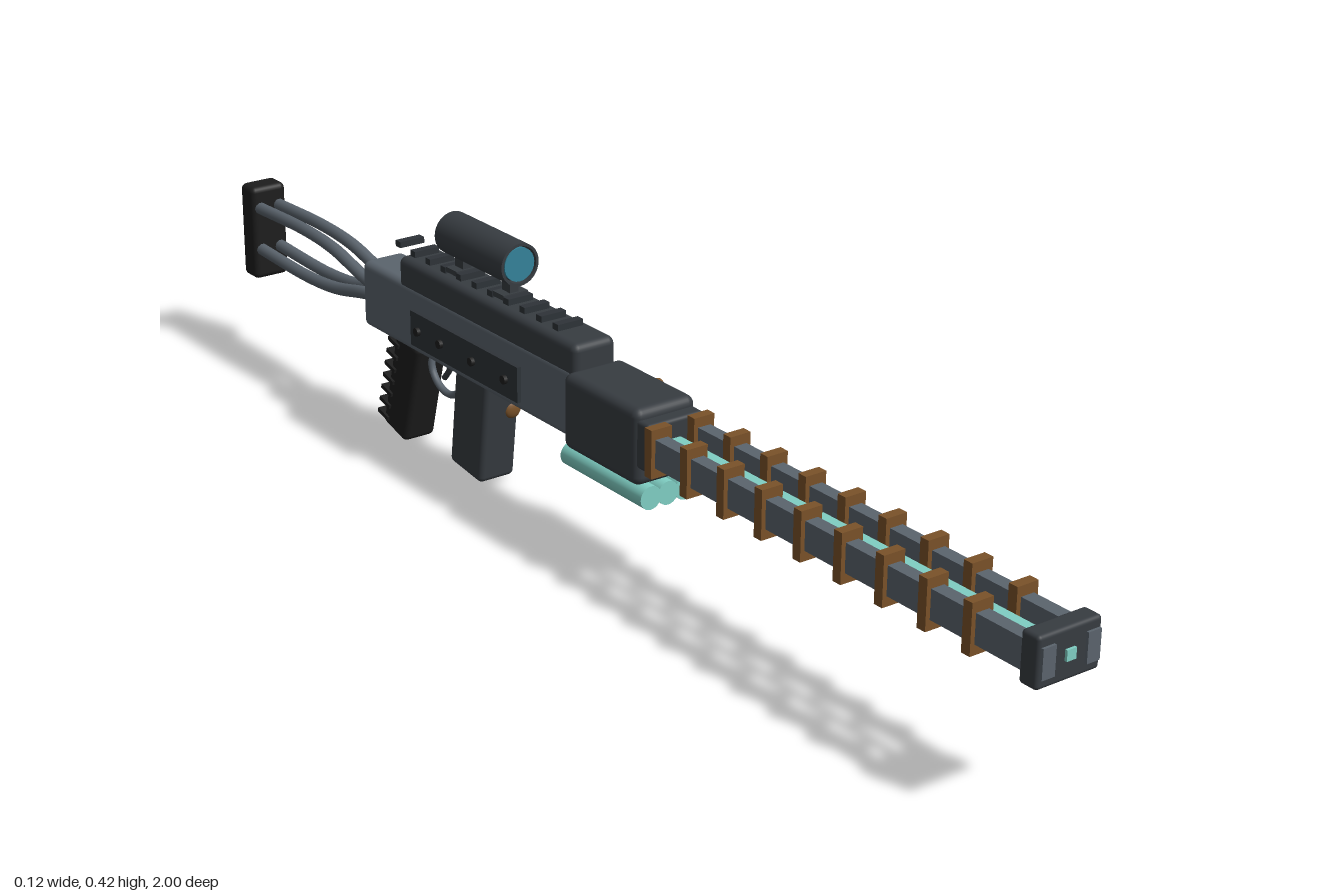
import * as THREE from 'three';
import { RoundedBoxGeometry } from 'three/addons/geometries/RoundedBoxGeometry.js';

const mat = (name, color) => new THREE.MeshStandardMaterial({ name, color });

export function createModel() {
  const dark = mat('dark gunmetal', 0x373c41);
  const steel = mat('steel grey', 0x5b646d);
  const panelGrey = mat('panel grey', 0x2e3338);
  const black = mat('rubber black', 0x1d1d1d);
  const copper = mat('copper', 0x7a5229);
  const teal = mat('energy teal', 0x80cfc4);
  const lensBlue = mat('lens blue', 0x35839a);

  const root = new THREE.Group();
  root.name = 'railRifle';

  const add = (name, geo, material, x, y, z, parent = root) => {
    const m = new THREE.Mesh(geo, material);
    m.name = name;
    m.position.set(x, y, z);
    parent.add(m);
    return m;
  };
  const box = (name, material, w, h, d, x, y, z, parent) =>
    add(name, new THREE.BoxGeometry(w, h, d), material, x, y, z, parent);
  const rounded = (name, material, w, h, d, r, x, y, z, parent) =>
    add(name, new RoundedBoxGeometry(w, h, d, 3, r), material, x, y, z, parent);
  const cylZ = (name, material, r, len, x, y, z) =>
    add(name, new THREE.CylinderGeometry(r, r, len, 24).rotateX(Math.PI / 2), material, x, y, z);
  const tube = (name, material, points, r, segments = 32) =>
    add(name, new THREE.TubeGeometry(
      new THREE.CatmullRomCurve3(points.map(p => new THREE.Vector3(...p))), segments, r, 10), material, 0, 0, 0);

  // Barrel: twin rails with copper coils around a glowing core
  for (const s of [-1, 1]) {
    box('barrelRail', steel, 0.022, 0.044, 0.835, s * 0.038, 0.237, 0.5825);
    for (let i = 0; i < 9; i++) {
      box('coil', copper, 0.036, 0.075, 0.016, s * 0.038, 0.237, 0.21 + i * 0.0828);
    }
  }
  box('energyCore', teal, 0.016, 0.016, 0.84, 0, 0.237, 0.58);
  rounded('muzzleBlock', dark, 0.108, 0.075, 0.032, 0.006, 0, 0.237, 0.98);
  rounded('barrelClamp', dark, 0.1, 0.075, 0.03, 0.006, 0, 0.237, 0.187);

  // Muzzle face details
  for (const s of [-1, 1]) box('railEnd', steel, 0.022, 0.044, 0.006, s * 0.038, 0.237, 0.997);
  box('coreEnd', teal, 0.016, 0.016, 0.006, 0, 0.237, 0.997);

  // Receiver and body
  rounded('frontReceiver', dark, 0.108, 0.12, 0.185, 0.014, 0, 0.23, 0.0875);
  rounded('mainBody', steel, 0.078, 0.112, 0.59, 0.012, 0, 0.234, -0.295);
  rounded('topCover', dark, 0.076, 0.055, 0.485, 0.012, 0, 0.302, -0.237);
  for (let i = 0; i < 11; i++) {
    box('railTooth', panelGrey, 0.045, 0.01, 0.014, 0, i < 10 ? 0.335 : 0.339, -0.065 - i * 0.0437);
  }

  // Side panels with bolts
  for (const s of [-1, 1]) {
    box('sidePanel', panelGrey, 0.01, 0.058, 0.3, s * 0.041, 0.224, -0.283);
    for (const z of [-0.165, -0.255, -0.345, -0.41]) {
      const bolt = z === -0.255 && s > 0 ? copper : black;
      add('panelBolt', new THREE.CylinderGeometry(0.007, 0.007, 0.008, 12).rotateZ(Math.PI / 2),
        bolt, s * 0.048, 0.224, z);
    }
  }
  add('receiverStud', new THREE.SphereGeometry(0.009, 14, 10), copper, 0.051, 0.278, 0.09);

  // Power cells under the receiver
  for (let i = -1; i <= 1; i++) cylZ('powerCell', teal, 0.0185, 0.2, i * 0.031, 0.152, 0.085);

  // Scope: open tube with a lens at each end, on two mounts
  const wall = [[0.0295, -0.0925], [0.034, -0.0925], [0.034, 0.0925], [0.0295, 0.0925], [0.0295, -0.0925]];
  const parts = wall.slice(1).map((p, i) => [wall[i], p]);
  for (const pair of parts) {
    add('scopeTube', new THREE.LatheGeometry(pair.map(p => new THREE.Vector2(...p)), 32).rotateX(Math.PI / 2),
      dark, 0, 0.391, -0.282);
  }
  for (const s of [-1, 1]) cylZ('scopeLens', lensBlue, 0.027, 0.006, 0, 0.391, -0.282 + s * 0.088);
  for (const z of [-0.217, -0.347]) {
    box('scopePost', dark, 0.016, 0.03, 0.022, 0, 0.351, z);
    box('scopeFoot', dark, 0.045, 0.008, 0.03, 0, 0.338, z);
  }

  // Magazine
  const magazine = rounded('magazine', dark, 0.066, 0.18, 0.088, 0.009, 0, 0.105, -0.293);
  magazine.rotation.x = 0.125;
  const stud = add('magazineStud', new THREE.SphereGeometry(0.015, 18, 12), copper, 0.022, 0.13, -0.248);
  stud.scale.z = 0.5;

  // Ridged grip
  const grip = new THREE.Group();
  grip.name = 'grip';
  grip.position.set(0, 0.098, -0.497);
  grip.rotation.x = 0.27;
  root.add(grip);
  rounded('gripCore', black, 0.06, 0.185, 0.068, 0.01, 0, 0, 0, grip);
  for (let i = 0; i < 7; i++) box('gripRidge', black, 0.068, 0.007, 0.03, 0, -0.076 + i * 0.024, -0.03, grip);

  // Trigger and guard
  tube('triggerGuard', steel, [[0, 0.185, -0.342], [0, 0.135, -0.356], [0, 0.113, -0.385],
    [0, 0.113, -0.415], [0, 0.135, -0.442], [0, 0.185, -0.448]], 0.006);
  tube('trigger', dark, [[0, 0.18, -0.385], [0, 0.155, -0.392], [0, 0.135, -0.408]], 0.005, 12);

  // Stock: four bent rods into a butt pad
  for (const sx of [-1, 1]) for (const sy of [-1, 1]) {
    tube('stockRod', steel, [[sx * 0.018, 0.234 + sy * 0.006, -0.57], [sx * 0.018, 0.234 + sy * 0.014, -0.62],
      [sx * 0.018, 0.235 + sy * 0.034, -0.71], [sx * 0.018, 0.235 + sy * 0.041, -0.8],
      [sx * 0.018, 0.235 + sy * 0.037, -0.97]], 0.0105);
  }
  rounded('buttPad', black, 0.066, 0.166, 0.044, 0.01, 0, 0.227, -0.978);

  return root;
}
